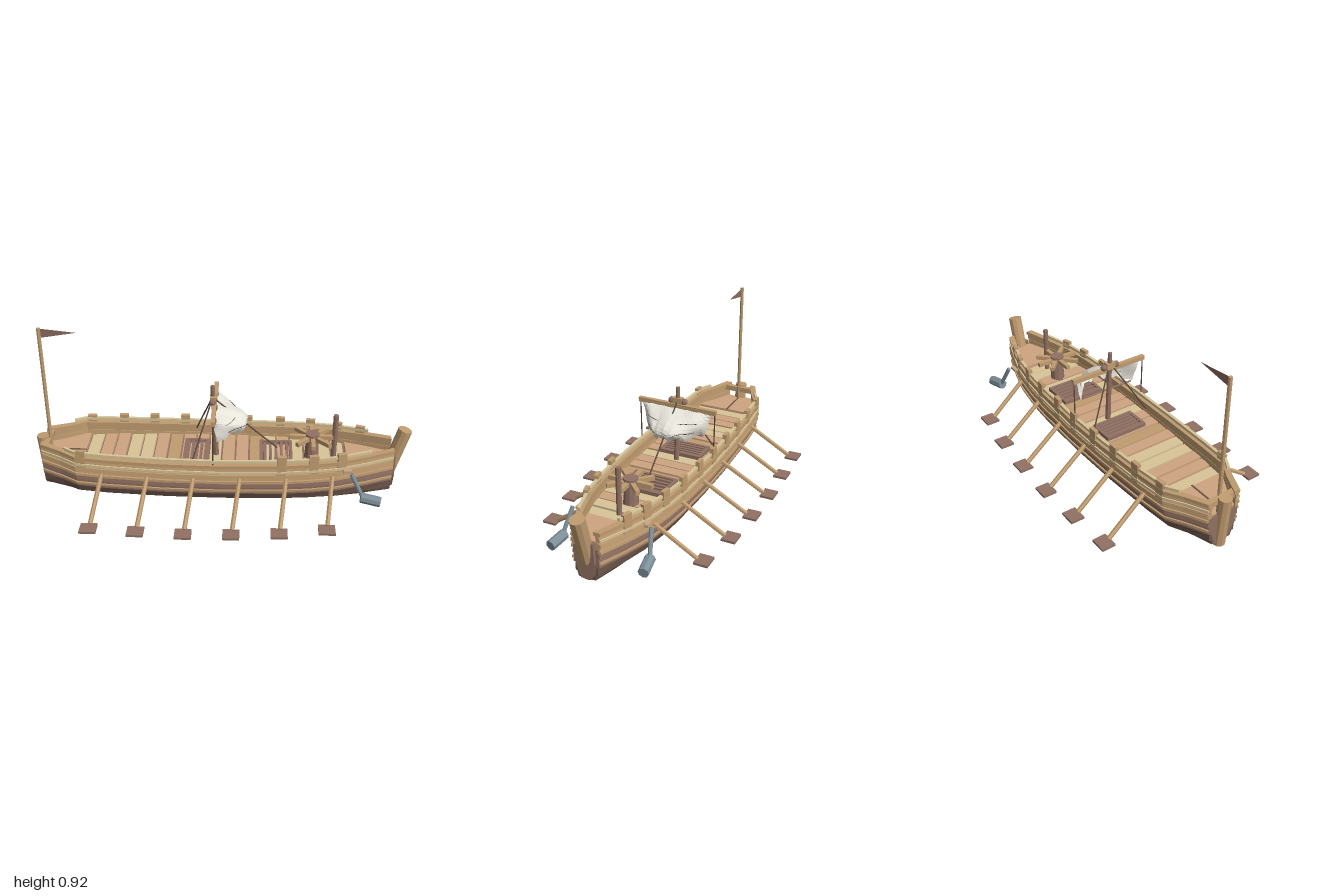
import * as THREE from 'three';

const mat = (name, color, side = THREE.FrontSide) => {
  const m = new THREE.MeshStandardMaterial({ color, side });
  m.name = name;
  return m;
};

export function createModel() {
  const ship = new THREE.Group();
  ship.name = 'galley';
  const tan = mat('tan wood', 0xc09c70), pale = mat('pale wood', 0xd9c598), deckWood = mat('deck wood', 0xcda480);
  const brown = mat('brown wood', 0x917163), dark = mat('dark wood', 0x6f574b), rope = mat('rope', 0x5e4b3f);
  const metal = mat('grey metal', 0x7e9099), cloth = mat('sail cloth', 0xe9e6dc, THREE.DoubleSide);
  const pennantCloth = mat('pennant cloth', 0x8c6c5e, THREE.DoubleSide);
  const V = (x, y, z) => new THREE.Vector3(x, y, z);

  // ---- helpers ----
  const add = (name, geo, material, parent = ship) => {
    const g = geo.index ? geo.toNonIndexed() : geo;
    g.computeVertexNormals();
    const m = new THREE.Mesh(g, material);
    m.name = name;
    parent.add(m);
    return m;
  };
  const box = (name, x, y, z, w, h, d, material) => {
    const m = add(name, new THREE.BoxGeometry(w, h, d), material);
    m.position.set(x, y, z);
    return m;
  };
  const rod = (name, a, b, r, material, sides = 8, r2 = r) => {
    const dir = b.clone().sub(a);
    const m = add(name, new THREE.CylinderGeometry(r2, r, dir.length(), sides), material);
    m.position.copy(a).add(b).multiplyScalar(0.5);
    m.quaternion.setFromUnitVectors(V(0, 1, 0), dir.normalize());
    return m;
  };
  // Closed tube through equal loops of points, with end caps
  const loft = (loops) => {
    const out = [], n = loops[0].length;
    const tri = (...ps) => ps.forEach(p => out.push(p.x, p.y, p.z));
    for (let i = 0; i < loops.length - 1; i++) for (let j = 0; j < n; j++) {
      const k = (j + 1) % n, A = loops[i], B = loops[i + 1];
      tri(A[j], A[k], B[j]);
      tri(A[k], B[k], B[j]);
    }
    const S = loops[0], E = loops[loops.length - 1];
    for (let j = 1; j < n - 1; j++) {
      tri(S[0], S[j + 1], S[j]);
      tri(E[0], E[j], E[j + 1]);
    }
    return new THREE.BufferGeometry().setAttribute('position', new THREE.Float32BufferAttribute(out, 3));
  };

  // ---- hull shape: plan, sheer and section ----
  const plan = [[-0.96, 0.085], [-0.85, 0.135], [-0.76, 0.187], [-0.6, 0.2], [-0.3, 0.212], [0, 0.215],
    [0.3, 0.205], [0.45, 0.192], [0.6, 0.168], [0.75, 0.122], [0.9, 0.067]];
  const lerpTable = (table, x) => {
    let i = 0;
    while (i < table.length - 2 && x > table[i + 1][0]) i++;
    const [x0, y0] = table[i], [x1, y1] = table[i + 1];
    return y0 + (y1 - y0) * (x - x0) / (x1 - x0);
  };
  const halfWidth = x => lerpTable(plan, x);
  const bottom = x => 0.006 + 0.032 * Math.pow(Math.abs(x), 3);
  const sheer = x => 0.262 + 0.03 * x * x;
  const profile = [[0, 0.04], [0.03, 0.55], [0.14, 0.77], [0.32, 0.9], [0.5, 0.96], [0.68, 0.985], [0.84, 1], [1, 1]];
  const at = (x, t, off = 0) => V(x, bottom(x) + (sheer(x) - bottom(x)) * t,
    Math.max(0.002, halfWidth(x) * lerpTable(profile, t) + off));
  const stations = plan.map(p => p[0]);

  // Strip following the hull side between heights t0 and t1
  const strip = (name, t0, t1, outLow, outHigh, inner, material, xs = stations) => {
    for (const side of [1, -1]) {
      const loops = xs.map(x => {
        const l = [at(x, t1, inner), at(x, t1, outHigh), at(x, t0, outLow), at(x, t0, inner)];
        l.forEach(p => { p.z *= side; });
        return side > 0 ? l : l.reverse();
      });
      add(name, loft(loops), material);
    }
  };

  // Solid inner body
  const levels = profile.map(p => p[0]).slice(0, 6).reverse();
  add('hullBody', loft(stations.map(x => {
    const half = levels.map(t => at(x, t, -0.006));
    return [...half, ...half.slice().reverse().map(p => V(p.x, p.y, -p.z))];
  })), brown);

  // Overlapping strakes, battens, wales and rail caps
  const strakeColors = [brown, dark, dark, brown, brown, tan, tan];
  strakeColors.forEach((c, i) => strip('strake', profile[i][0], profile[i + 1][0] - (i < 6 ? 0.008 : 0), 0.008, 0, -0.014, c));
  strip('lowerBatten', 0.385, 0.43, 0.014, 0.012, -0.005, tan);
  strip('upperBatten', 0.61, 0.66, 0.014, 0.012, -0.005, tan);
  strip('wale', 0.73, 0.81, 0.014, 0.01, -0.005, tan);
  strip('paleSeam', 0.85, 0.9, 0.012, 0.012, -0.005, pale);
  strip('railCap', 0.97, 1.04, 0.01, 0.01, -0.024, tan);
  strip('upperRail', 1.08, 1.14, 0.002, 0.002, -0.014, pale, [-0.82, ...stations.slice(2, 10), 0.78]);

  // Stem and stern posts
  add('stemFace', loft([0.89, 0.915].map(x => [V(x, 0.24, 0.045), V(x, 0.13, 0.052), V(x, 0.045, 0.022),
    V(x, 0.045, -0.022), V(x, 0.13, -0.052), V(x, 0.24, -0.045)])), brown);
  rod('bowPost', V(0.888, 0.135, 0), V(0.957, 0.382, 0), 0.037, tan, 10);
  rod('sternPost', V(-0.945, 0.02, 0), V(-0.965, 0.3, 0), 0.034, tan, 10);
  box('sternBeam', -0.935, 0.275, 0, 0.03, 0.03, 0.17, tan);

  // Cross-laid deck planks, cut to the plan
  const deckY = 0.206;
  const plank = (x0, x1, y, material) => {
    const cut = [x0, ...stations.filter(x => x > x0 && x < x1), x1];
    add('deckPlank', loft(cut.map(x => {
      const z = halfWidth(x) - 0.01;
      return [V(x, y, -z), V(x, y, z), V(x, y - 0.02, z), V(x, y - 0.02, -z)];
    })), material);
  };
  // one letter per plank from stern to bow: d = deck wood, p = pale, t = tan
  [...'pddppdtddpddtpdpdpp'].forEach((c, i) => {
    const x = -0.73 + i * 0.073;
    plank(x, x + 0.063, deckY + (i % 3) * 0.002, { d: deckWood, p: pale, t: tan }[c]);
  });
  plank(0.66, 0.89, deckY + 0.01, deckWood);
  plank(-0.95, -0.738, deckY + 0.01, deckWood);
  box('sternSeam', -0.83, deckY + 0.011, 0, 0.19, 0.004, 0.008, dark);

  // Bulwark blocks: full row on the right, fewer on the left
  const block = (x, side) => {
    const m = box('bulwarkBlock', x, 0.268, side * (halfWidth(x) - 0.002), 0.048, 0.115, 0.022, tan);
    m.rotation.y = side * -Math.atan((halfWidth(x + 0.03) - halfWidth(x - 0.03)) / 0.06);
  };
  [-0.73, -0.555, -0.385, -0.215, -0.035, 0.13, 0.31, 0.475, 0.62, 0.74].forEach(x => block(x, -1));
  [-0.73, 0.31, 0.475, 0.62].forEach(x => block(x, 1));

  // Oars and hanging anchors on both sides
  const reach = [0.457, 0.473, 0.483, 0.478, 0.46, 0.42];
  for (const s of [1, -1]) {
    reach.forEach((z, i) => {
      const x = -0.66 + i * 0.24;
      rod('oarShaft', V(x + 0.037, 0.2, s * (halfWidth(x) - 0.01)), V(x + 0.005, 0.04, s * (z - 0.03)), 0.012, tan, 6);
      box('oarBlade', x, 0.035, s * z, 0.085, 0.012, 0.074, brown);
    });
    box('anchorArm', 0.65, 0.235, s * 0.185, 0.045, 0.014, 0.02, deckWood);
    rod('anchorShank', V(0.668, 0.235, s * 0.212), V(0.735, 0.105, s * 0.236), 0.011, metal);
    rod('anchorWeight', V(0.722, 0.107, s * 0.232), V(0.822, 0.092, s * 0.248), 0.027, metal);
  }

  // Deck gratings
  for (const [x, w] of [[-0.14, 0.14], [0.285, 0.175]]) {
    for (const s of [1, -1]) {
      box('hatchSide', x, 0.218, s * 0.113, w, 0.02, 0.016, brown);
      box('hatchEnd', x + s * (w / 2 - 0.008), 0.218, 0, 0.016, 0.02, 0.225, brown);
    }
    for (let i = 1; i < 6; i++) box('hatchSlat', x - w / 2 + w * i / 6, 0.217, 0, 0.014, 0.014, 0.22, brown);
  }

  // Capstan with bars, and the bitt post
  rod('capstanDrum', V(0.475, 0.2, 0), V(0.475, 0.31, 0), 0.04, brown, 10, 0.034);
  rod('capstanHead', V(0.475, 0.305, 0), V(0.475, 0.348, 0), 0.038, brown, 10);
  for (let i = 0; i < 4; i++) {
    const bar = box('capstanBar', 0.475, 0.326, 0, 0.24, 0.022, 0.022, tan);
    bar.rotation.y = i * Math.PI / 4;
  }
  rod('bittPost', V(0.592, 0.2, 0), V(0.592, 0.46, 0), 0.014, brown);

  // Mast, yards and rigging
  rod('mast', V(-0.035, 0.2, 0), V(-0.053, 0.62, 0), 0.015, brown, 8, 0.011);
  box('yard', -0.042, 0.518, 0, 0.022, 0.024, 0.445, tan);
  box('mastCleat', -0.05, 0.545, 0, 0.03, 0.035, 0.05, tan);
  rod('lowerYard', V(-0.025, 0.382, -0.155), V(-0.025, 0.382, 0.155), 0.005, brown, 6);
  for (const s of [1, -1]) {
    const ball = add('mastBlock', new THREE.SphereGeometry(0.018, 8, 6), brown);
    ball.position.set(-0.052, 0.542, s * 0.037);
    rod('yardRope', V(-0.042, 0.51, s * 0.215), V(-0.042, 0.27, s * 0.212), 0.0035, rope, 5);
    rod('shroud', V(-0.05, 0.56, 0), V(-0.15, 0.27, s * 0.165), 0.004, rope, 5);
  }
  rod('forestay', V(-0.05, 0.55, 0), V(0.29, 0.255, 0), 0.004, rope, 5);

  // Torn, billowing sail with thin seams; u across, v down
  const sailPoint = (u, v) => {
    const bulge = 1 - Math.pow(Math.abs(u), 1.8);
    const tear = v * v * (0.01 * Math.sin(u * 13) + 0.007 * Math.sin(u * 29 + 1));
    return V(-0.03 + 0.165 * bulge * Math.sin(v * 2.2) + 0.006 * Math.sin(u * 9 + v * 6),
      0.51 - 0.125 * v + tear, u * (0.198 - 0.032 * v));
  };
  const sail = new THREE.PlaneGeometry(2, 1, 18, 8), sp = sail.attributes.position;
  for (let i = 0; i < sp.count; i++) {
    const p = sailPoint(sp.getX(i), 0.5 - sp.getY(i));
    sp.setXYZ(i, p.x, p.y, p.z);
  }
  add('sail', sail, cloth);
  for (const v of [0.35, 0.7]) for (const s of [1, -1]) {
    const pts = [0.3, 0.45, 0.6, 0.75].map(u => sailPoint(u * s, v));
    add('sailSeam', new THREE.TubeGeometry(new THREE.CatmullRomCurve3(pts), 8, 0.002, 4), rope);
  }

  // Stern flagpole and pennant
  rod('flagpole', V(-0.925, 0.2, 0), V(-0.925, 0.925, 0), 0.01, tan);
  const tri = new THREE.Shape([[-0.92, 0.922], [-0.92, 0.872], [-0.735, 0.903]].map(p => new THREE.Vector2(...p)));
  add('pennant', new THREE.ShapeGeometry(tri), pennantCloth);

  return ship;
}
